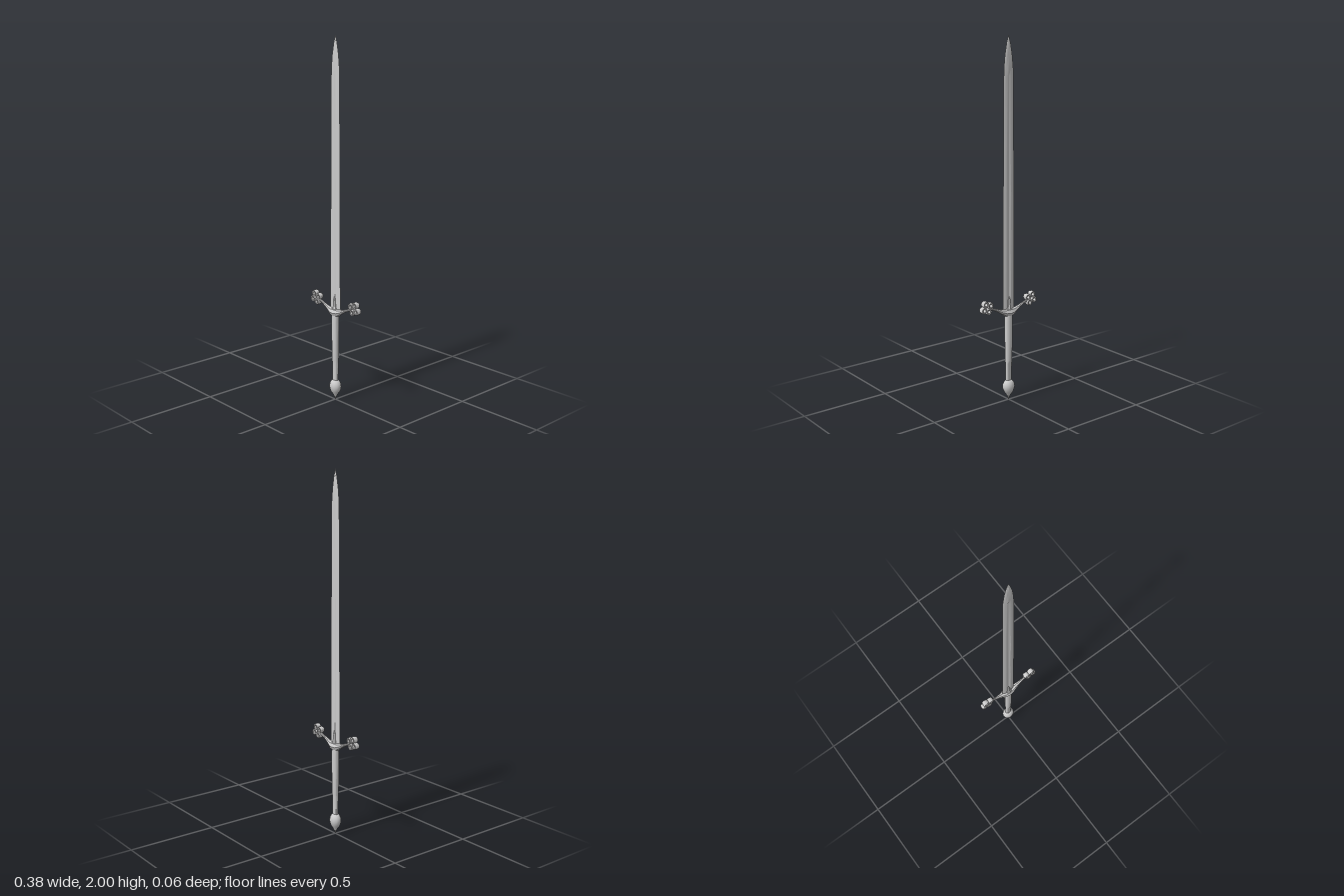
import * as THREE from 'three';
import { toCreasedNormals } from 'three/addons/utils/BufferGeometryUtils.js';

const steel = new THREE.MeshStandardMaterial({ color: 0xcccccc });

function part(name, geometry, crease = 0.6) {
  const mesh = new THREE.Mesh(toCreasedNormals(geometry, crease), steel);
  mesh.name = name;
  return mesh;
}

// Skins a list of equal-length rings of [x, y, z] and caps both ends.
function loft(rings) {
  const n = rings[0].length, last = rings.length - 1;
  const pos = rings.flat(2), idx = [];
  for (let i = 0; i < last; i++) {
    for (let j = 0; j < n; j++) {
      const k = (j + 1) % n;
      const a = i * n + j, b = i * n + k, c = b + n, d = a + n;
      idx.push(a, b, c, a, c, d);
    }
  }
  [0, last].forEach((r, end) => {
    const centre = pos.length / 3;
    for (let axis = 0; axis < 3; axis++) {
      pos.push(rings[r].reduce((sum, p) => sum + p[axis], 0) / n);
    }
    for (let j = 0; j < n; j++) {
      const a = r * n + j, b = r * n + (j + 1) % n;
      idx.push(centre, end ? a : b, end ? b : a);
    }
  });
  const g = new THREE.BufferGeometry();
  g.setAttribute('position', new THREE.Float32BufferAttribute(pos, 3));
  g.setIndex(idx);
  return g;
}

// Elliptical ring round the y axis, or round the x axis for the guard.
function ellipse(sides, place) {
  return Array.from({ length: sides }, (_, j) => {
    const t = (j / sides) * Math.PI * 2;
    return place(Math.cos(t), Math.sin(t));
  });
}
const upright = (sides, y, rx, rz) => ellipse(sides, (c, s) => [rx * s, y, rz * c]);
const sideways = (sides, x, y, ry, rz) => ellipse(sides, (c, s) => [x, y + ry * c, rz * s]);

// Blade cross-section: sharp edges, flat shoulders and a central groove.
function bladeRing(y, w, t, groove) {
  const f = Math.min(0.012, w * 0.36), m = w * 0.6;
  const right = [[f, t], [m, t * 0.85], [w, 0], [m, -t * 0.85], [f, -t]];
  const left = right.map(([x, z]) => [-x, -z]);
  return [[0, t - groove], ...right, [0, groove - t], ...left].map(([x, z]) => [x, y, z]);
}

// Four barrel-shaped rings around a centre.
function quatrefoil() {
  const group = new THREE.Group();
  const profile = [[0.009, -0.013], [0.0155, -0.014], [0.0185, -0.006], [0.0185, 0.006],
    [0.0155, 0.014], [0.009, 0.013], [0.009, -0.013]].map(p => new THREE.Vector2(...p));
  for (let i = 0; i < 4; i++) {
    const ring = part('quatrefoilRing', new THREE.LatheGeometry(profile, 12).rotateX(Math.PI / 2));
    const a = Math.PI / 4 + i * Math.PI / 2;
    ring.position.set(0.024 * Math.cos(a), 0.024 * Math.sin(a), 0);
    group.add(ring);
  }
  return group;
}

export function createModel() {
  const sword = new THREE.Group();
  sword.name = 'sword';

  // Blade: y, half width, half thickness, groove depth
  sword.add(part('blade', loft([
    [0.5, 0.04, 0.007, 0.004], [0.9, 0.038, 0.0066, 0.0038], [1.4, 0.035, 0.006, 0.0035],
    [1.79, 0.032, 0.0055, 0.003], [1.83, 0.031, 0.0055, -0.001], [1.9, 0.024, 0.005, -0.001],
    [1.96, 0.013, 0.004, -0.001], [2, 0.0008, 0.0006, 0],
  ].map(s => bladeRing(...s))), 0.4));

  // Curved crossguard: x, y, half height, half depth, mirrored about the middle
  const arm = [[0.025, 0.511, 0.022, 0.024], [0.048, 0.519, 0.014, 0.016],
    [0.075, 0.532, 0.009, 0.010], [0.105, 0.545, 0.007, 0.007], [0.136, 0.557, 0.007, 0.007]];
  const guard = [
    ...arm.map(([x, ...rest]) => [-x, ...rest]).reverse(), [0, 0.51, 0.025, 0.028], ...arm];
  sword.add(part('crossguard', loft(guard.map(s => sideways(8, ...s)))));

  // Pointed langet clasping the base of the blade
  sword.add(part('langet', loft([
    [0.51, 0.03, 0.022], [0.535, 0.018, 0.017], [0.565, 0.011, 0.013],
    [0.585, 0.008, 0.011], [0.6, 0.001, 0.008],
  ].map(([y, rx, rz]) => upright(8, y, rx, rz)))));

  // Quatrefoil ends, tilted along the arms
  for (const side of [-1, 1]) {
    const end = quatrefoil();
    end.name = side > 0 ? 'leftQuatrefoil' : 'rightQuatrefoil';
    end.position.set(side * 0.152, 0.563, 0);
    end.rotation.z = side * 0.35;
    sword.add(end);
  }

  // Tapering grip
  sword.add(part('grip', loft([
    [0.1, 0.018, 0.013], [0.215, 0.02, 0.014], [0.235, 0.021, 0.017],
    [0.36, 0.023, 0.019], [0.46, 0.024, 0.019], [0.51, 0.023, 0.018],
  ].map(([y, rx, rz]) => upright(12, y, rx, rz))), 0.9));

  // Pear-shaped pommel with a pointed end
  sword.add(part('pommel', loft([
    [0, 0.001], [0.018, 0.007], [0.034, 0.016], [0.048, 0.027], [0.064, 0.034],
    [0.08, 0.037], [0.096, 0.034], [0.108, 0.027], [0.117, 0.017],
  ].map(([y, r]) => upright(12, y, r, r * 0.84))), 0.9));

  return sword;
}
